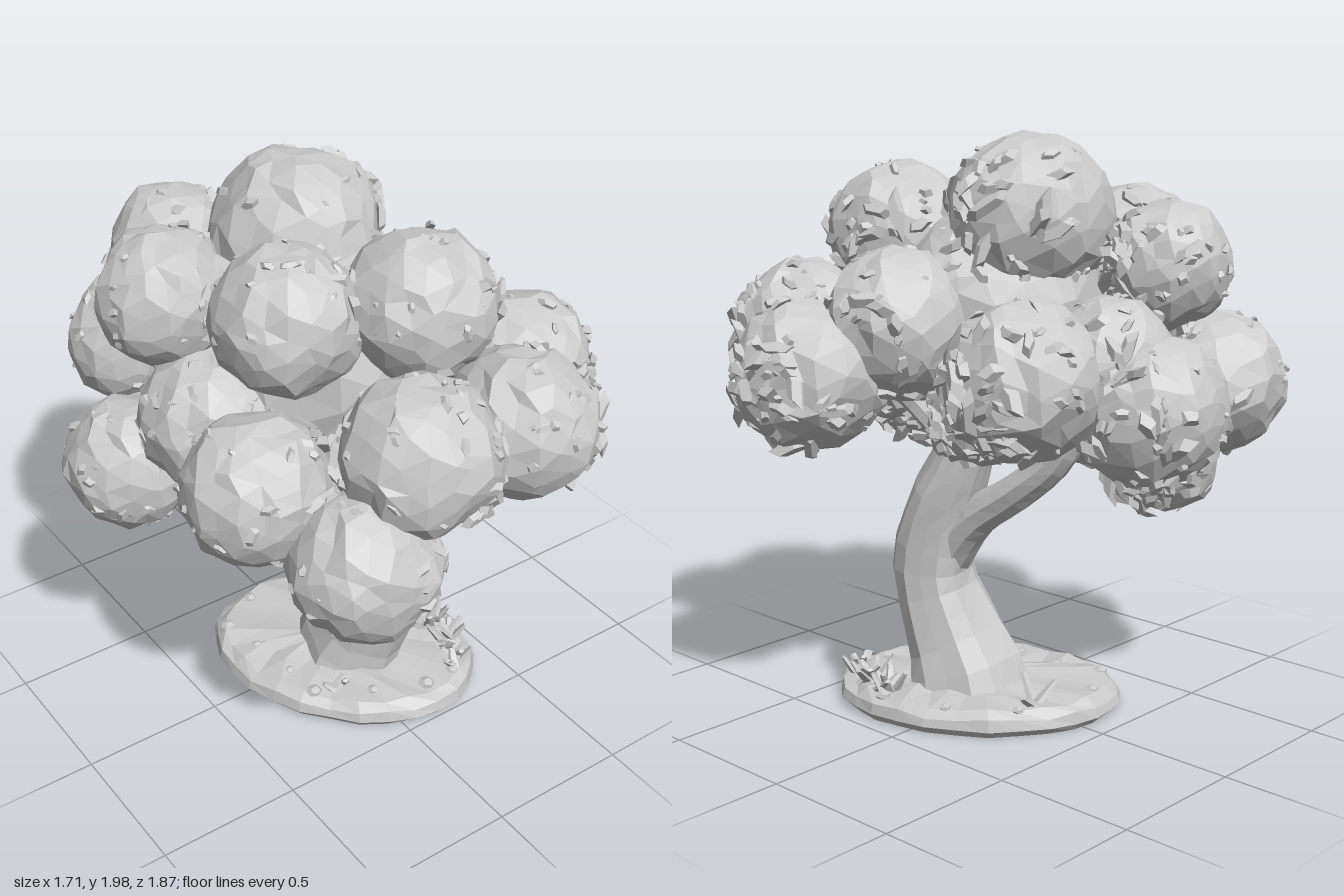
import * as THREE from 'three';
import { mergeGeometries } from 'three/addons/utils/BufferGeometryUtils.js';

const V = (x, y, z) => new THREE.Vector3(x, y, z);
const material = new THREE.MeshStandardMaterial({ color: 0xcccccc, flatShading: true });

let seed = 7;
const rand = () => {
  seed = (seed * 16807) % 2147483647;
  return seed / 2147483647;
};
const spread = (s) => (rand() - 0.5) * 2 * s;

function part(parent, name, geometry) {
  const mesh = new THREE.Mesh(geometry, material);
  mesh.name = name;
  parent.add(mesh);
  return mesh;
}

// Foliage clumps: x, y, z, radius
const CLUMPS = [
  [-0.03, 1.715, -0.13, 0.275], [-0.29, 1.63, 0.19, 0.235], [0.09, 1.64, 0.36, 0.24],
  [-0.47, 1.58, -0.23, 0.225], [-0.26, 1.57, -0.53, 0.21], [0.35, 1.38, 0.1, 0.25],
  [0.58, 1.22, 0.28, 0.25], [0.27, 1.3, 0.66, 0.24], [-0.12, 1.32, 0.65, 0.25],
  [-0.34, 1.02, 0.67, 0.235], [-0.51, 1.18, 0.34, 0.24], [-0.61, 0.97, -0.28, 0.22],
  [-0.46, 1.24, 0.0, 0.23], [-0.4, 0.9, -0.42, 0.2], [-0.37, 1.19, -0.66, 0.23],
  [0.02, 1.15, -0.69, 0.24], [0.05, 1.29, -0.55, 0.21], [0.32, 1.25, -0.42, 0.255],
  [-0.03, 1.38, 0.02, 0.38], [-0.2, 1.08, -0.3, 0.21], [-0.12, 1.12, 0.4, 0.2],
  [0.13, 1.17, 0.35, 0.18], [-0.3, 1.08, -0.04, 0.2], [0.25, 1.11, -0.18, 0.17],
];

// A faceted sphere with an uneven surface
function clumpGeometry(r, phase) {
  const g = new THREE.IcosahedronGeometry(1, 3);
  const p = g.attributes.position, v = V(0, 0, 0);
  for (let i = 0; i < p.count; i++) {
    v.fromBufferAttribute(p, i).normalize();
    const bump = 0.035 * Math.sin(v.x * 5 + phase) * Math.cos(v.y * 4 - phase)
      + 0.025 * Math.sin(v.z * 9 + v.x * 7 + phase * 3)
      + 0.02 * Math.sin(v.y * 17 + v.z * 13 + phase);
    // slide points sideways so the facets are irregular
    v.x += 0.07 * Math.sin(v.y * 23 + v.z * 11 + phase);
    v.y += 0.07 * Math.sin(v.z * 21 + v.x * 13 + phase);
    v.z += 0.07 * Math.sin(v.x * 19 + v.y * 17 + phase);
    v.normalize().multiplyScalar(r * (1.015 + bump));
    p.setXYZ(i, v.x, v.y, v.z);
  }
  return g;
}

// Angular chips of leaf poking out of a clump: dense and long on the tree's left, sparse elsewhere
function leafChips(clump, count) {
  const [cx, cy, cz, r] = clump, chips = [];
  const dummy = new THREE.Object3D();
  for (let i = 0; i < count; i++) {
    const h = spread(1), a = rand() * Math.PI * 2, w = Math.sqrt(1 - h * h);
    const n = V(w * Math.cos(a), h, w * Math.sin(a));
    const at = n.clone().multiplyScalar(r);
    const world = V(cx, cy, cz).add(at);
    const buried = CLUMPS.some((c) => c !== clump && world.distanceTo(V(c[0], c[1], c[2])) < c[3]);
    const leafy = THREE.MathUtils.smoothstep(n.x - 0.5 * Math.max(n.y, 0), -0.2, 0.6);
    const size = (0.012 + rand() * 0.014) * (1 + 0.5 * leafy);
    const long = 1 + rand() * (1 + leafy), tilt = spread(0.9), roll = spread(0.7);
    if (buried || rand() > 0.3 + 0.7 * leafy) continue;
    const g = new THREE.CylinderGeometry(0.65, 1, 0.8, 5);
    dummy.position.copy(at);
    dummy.quaternion.setFromUnitVectors(V(0, 1, 0), n);
    dummy.rotateY(a * 3);
    dummy.rotateX(tilt);
    dummy.rotateZ(roll);
    dummy.scale.set(size * long, size * 1.1, size * 0.8);
    dummy.updateMatrix();
    chips.push(g.applyMatrix4(dummy.matrix));
  }
  return chips.length ? mergeGeometries(chips) : null;
}

// A tapering, ridged limb along a curve; radii are spaced evenly along it
function limbGeometry(points, radii, sides, ridge) {
  const curve = new THREE.CatmullRomCurve3(points);
  const steps = 14;
  const g = new THREE.TubeGeometry(curve, steps, 1, sides);
  const p = g.attributes.position, v = V(0, 0, 0);
  for (let i = 0; i <= steps; i++) {
    const t = i / steps, centre = curve.getPointAt(t);
    const f = t * (radii.length - 1), k = Math.min(Math.floor(f), radii.length - 2);
    const radius = THREE.MathUtils.lerp(radii[k], radii[k + 1], f - k);
    for (let j = 0; j <= sides; j++) {
      const index = i * (sides + 1) + j, a = (j / sides) * Math.PI * 2;
      const groove = 1 + ridge * (Math.sin(a * 5 + t * 2) * (1.2 - t) + 0.5 * Math.sin(a * 3 + i));
      v.fromBufferAttribute(p, index).sub(centre).multiplyScalar(radius * groove).add(centre);
      p.setXYZ(index, v.x, Math.max(v.y, 0.03), v.z); // keep the foot inside the ground
    }
  }
  return g;
}

// Uneven earth disc, a slanted oval rounded over at the rim
function groundGeometry() {
  const profile = [[0, 0.01], [0.95, 0.01], [1, 0.035], [0.98, 0.07], [0.9, 0.095], [0.6, 0.1], [0.3, 0.11], [0, 0.12]];
  const g = new THREE.LatheGeometry(profile.map(([x, y]) => new THREE.Vector2(x, y)), 28);
  const p = g.attributes.position;
  for (let i = 0; i < p.count; i++) {
    const x = p.getX(i), y = p.getY(i), z = p.getZ(i);
    const wobble = 1 + 0.025 * Math.sin(x * 9 + z * 5) * Math.cos(z * 8);
    const lift = y > 0.05 ? 0.009 * Math.sin(x * 13 + z * 17) : 0;
    p.setXYZ(i, 0.04 + x * 0.41 * wobble, y + lift, 0.03 + (z * 0.454 + x * 0.12) * wobble);
  }
  return g;
}

// Broad blades fanning out from one spot
function tuftGeometry(x, z, count, height) {
  const blades = [];
  for (let i = 0; i < count; i++) {
    const g = new THREE.CylinderGeometry(0.012, 0.026, height * (0.8 + rand() * 0.4), 5);
    g.translate(0, height * 0.45, 0);
    g.scale(1, 1, 0.6);
    g.rotateX(0.4 + rand() * 0.6);
    g.rotateY((i / count) * Math.PI * 2 + spread(0.3));
    blades.push(g.translate(x + spread(0.03), 0.09, z + spread(0.03)));
  }
  return mergeGeometries(blades);
}

export function createModel() {
  seed = 7;
  const tree = new THREE.Group();
  tree.name = 'tree';

  part(tree, 'ground', groundGeometry());

  // Curved trunk with flared foot, and its branches
  part(tree, 'trunk', limbGeometry(
    [V(0.07, 0.04, 0.055), V(0.075, 0.13, 0.07), V(0.09, 0.27, 0.13), V(0.11, 0.47, 0.19), V(0.11, 0.7, 0.14), V(0.095, 0.95, 0.03), V(0.08, 1.3, -0.02)],
    [0.215, 0.17, 0.148, 0.14, 0.125, 0.098, 0.08, 0.07], 15, 0.06));
  part(tree, 'backBranch', limbGeometry(
    [V(0.11, 0.5, 0.14), V(0.1, 0.68, 0.0), V(0.08, 0.8, -0.17), V(0.05, 0.95, -0.34), V(0.04, 1.15, -0.43)],
    [0.08, 0.068, 0.058, 0.055], 9, 0.05));
  part(tree, 'frontBranch', limbGeometry(
    [V(0.1, 0.88, 0.05), V(0.17, 1.02, 0.12), V(0.3, 1.2, 0.22)], [0.05, 0.045, 0.04], 8, 0.05));
  part(tree, 'rightBranch', limbGeometry(
    [V(0.08, 0.92, 0.02), V(-0.08, 1.05, 0.08), V(-0.3, 1.18, 0.2)], [0.06, 0.045, 0.04], 8, 0.05));

  // Grass tufts and pebbles on the ground
  const tufts = [[0.34, 0.27, 9, 0.1], [0.29, 0.38, 7, 0.08], [0.36, 0.17, 7, 0.09], [0.1, -0.27, 3, 0.09], [-0.12, 0.22, 3, 0.06]];
  tufts.forEach(([x, z, n, h]) => part(tree, 'grassTuft', tuftGeometry(x, z, n, h)));
  for (let i = 0; i < 14; i++) {
    const a = i * 2.4, pebble = part(tree, 'pebble', new THREE.DodecahedronGeometry(0.015 + rand() * 0.015));
    const d = 0.65 + rand() * 0.25, x = Math.cos(a) * d, z = Math.sin(a) * d;
    pebble.position.set(0.04 + x * 0.41, 0.095, 0.03 + z * 0.454 + x * 0.12);
    pebble.scale.y = 0.6;
  }

  // Canopy
  const canopy = new THREE.Group();
  canopy.name = 'canopy';
  tree.add(canopy);
  CLUMPS.forEach((clump, i) => {
    const [x, y, z, r] = clump;
    part(canopy, 'foliageClump', clumpGeometry(r, i * 1.7)).position.set(x, y, z);
    const chips = leafChips(clump, 130);
    if (chips) part(canopy, 'leafChips', chips).position.set(x, y, z);
  });
  return tree;
}
